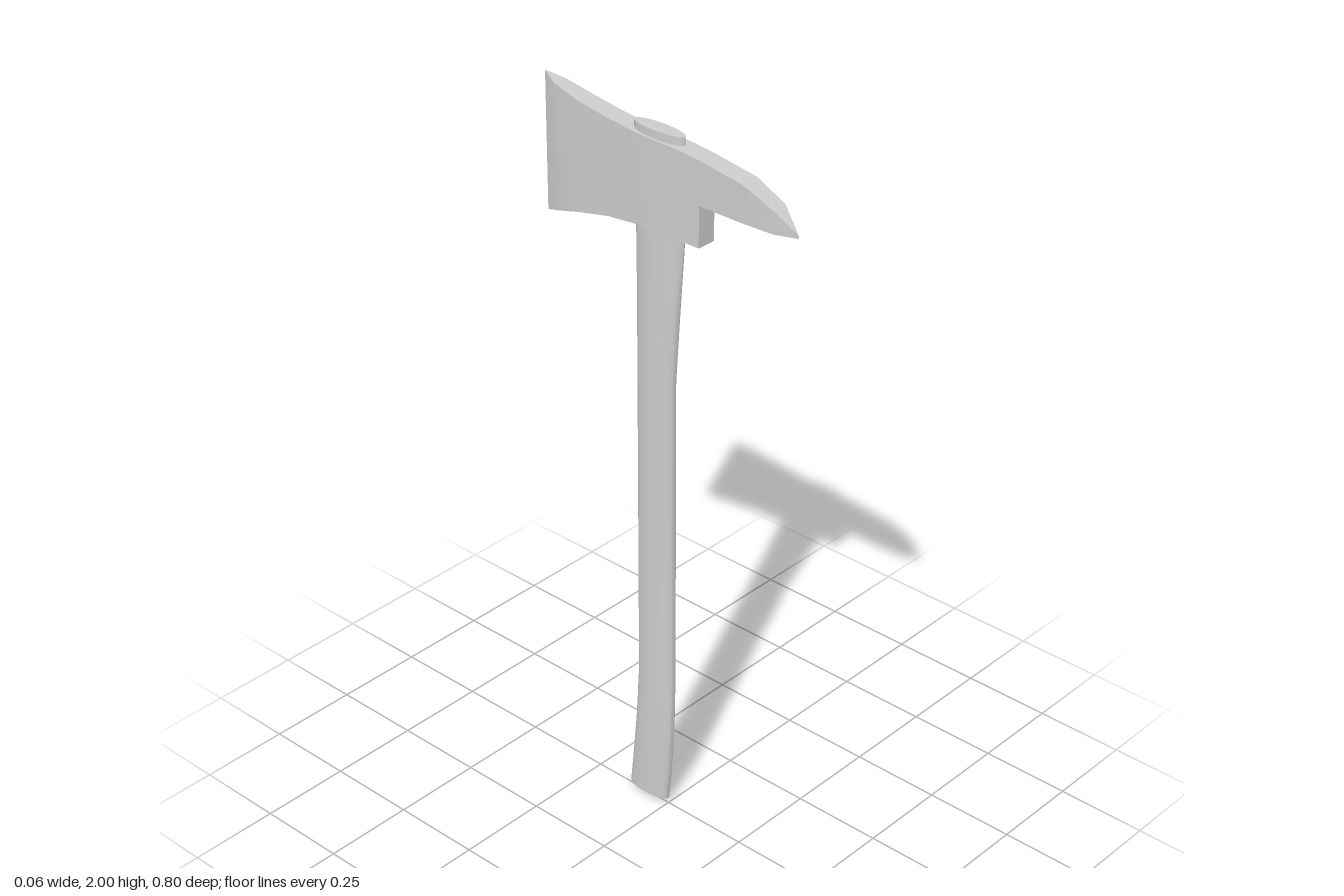
import * as THREE from 'three';
import { toCreasedNormals } from 'three/addons/utils/BufferGeometryUtils.js';

// Skin a list of closed rings (counter-clockwise around the travel direction) and cap both ends.
function loft(rings, startTip, endTip, crease) {
  const pos = [];
  const tri = (a, b, c) => {
    const area = b.clone().sub(a).cross(c.clone().sub(a)).length();
    if (area > 1e-7) pos.push(...a.toArray(), ...b.toArray(), ...c.toArray());
  };
  const n = rings[0].length;
  const last = rings[rings.length - 1];
  for (let j = 0; j < n; j++) {
    const k = (j + 1) % n;
    for (let i = 0; i < rings.length - 1; i++) {
      const r = rings[i], s = rings[i + 1];
      tri(r[j], r[k], s[k]);
      tri(r[j], s[k], s[j]);
    }
    tri(startTip, rings[0][k], rings[0][j]);
    tri(endTip, last[j], last[k]);
  }
  const geo = new THREE.BufferGeometry();
  geo.setAttribute('position', new THREE.Float32BufferAttribute(pos, 3));
  return toCreasedNormals(geo, crease);
}

const V = (x, y, z) => new THREE.Vector3(x, y, z);

export function createModel() {
  const group = new THREE.Group();
  const material = new THREE.MeshStandardMaterial({ color: 0xcccccc });
  const add = (name, geometry) => {
    const mesh = new THREE.Mesh(geometry, material);
    mesh.name = name;
    group.add(mesh);
  };

  // Head: z, bottom, top, half width, from the cutting edge to the pick point
  const headSections = [
    [-0.4, 1.63, 2.0, 0],
    [-0.35, 1.65, 1.986, 0.02],
    [-0.27, 1.674, 1.969, 0.026],
    [-0.17, 1.697, 1.954, 0.027],
    [-0.08, 1.707, 1.945, 0.028],
    [0.05, 1.71, 1.942, 0.028],
    [0.12, 1.71, 1.936, 0.027],
    [0.12, 1.82, 1.936, 0.027],
    [0.25, 1.82, 1.918, 0.027],
    [0.34, 1.82, 1.88, 0.022],
    [0.4, 1.82, 1.828, 0],
  ];
  const headRings = headSections.map(([z, b, t, w]) => [V(w, b, z), V(w, t, z), V(-w, t, z), V(-w, b, z)]);
  add('axeHead', loft(headRings, V(0, 1.8, -0.4), V(0, 1.824, 0.4), 0.5));

  // Handle: y, front z, back z, half width of each oval section
  const handleSections = [
    [0.015, 0.0, -0.133, 0.022],
    [0.1, 0.008, -0.124, 0.023],
    [0.25, 0.018, -0.11, 0.023],
    [0.4, 0.021, -0.101, 0.023],
    [1.3, 0.022, -0.1, 0.023],
    [1.5, 0.036, -0.1, 0.023],
    [1.71, 0.052, -0.102, 0.023],
    [1.965, 0.051, -0.107, 0.022],
  ];
  const sides = 20;
  const handleRings = handleSections.map(([y, f, b, w]) =>
    Array.from({ length: sides }, (_, i) => {
      const a = (i / sides) * Math.PI * 2;
      return V(w * Math.sin(a), y, (f + b) / 2 + ((f - b) / 2) * Math.cos(a));
    }));
  add('handle', loft(handleRings, V(0, 0, -0.066), V(0, 1.965, -0.028), 0.9));

  return group;
}
